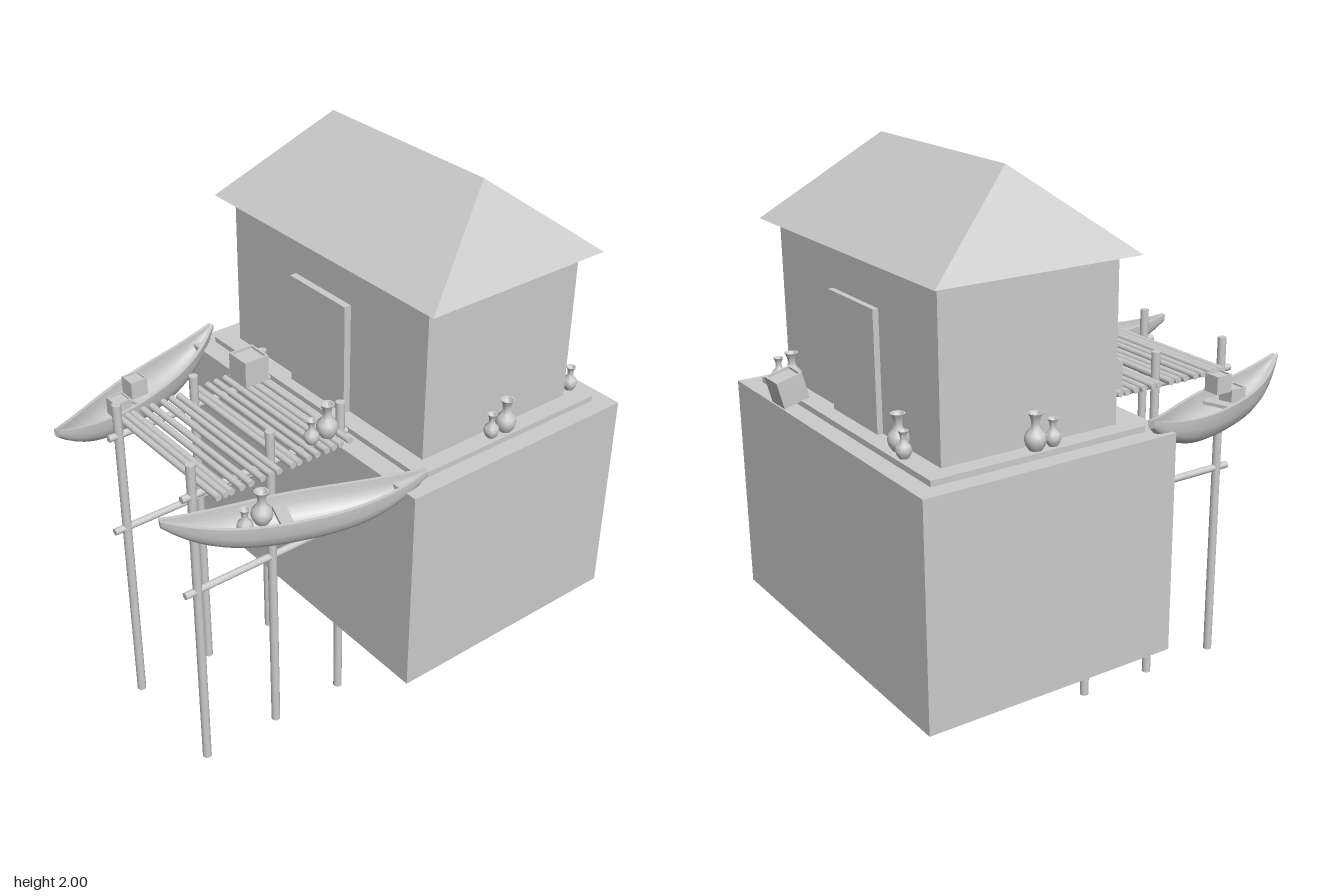
import * as THREE from 'three';
import { toCreasedNormals } from 'three/addons/utils/BufferGeometryUtils.js';

const material = new THREE.MeshStandardMaterial({ color: 0xcccccc });
const thin = new THREE.MeshStandardMaterial({ color: 0xcccccc, side: THREE.DoubleSide });

function add(parent, name, geometry, x = 0, y = 0, z = 0, mat = material) {
  const mesh = new THREE.Mesh(geometry, mat);
  mesh.name = name;
  mesh.position.set(x, y, z);
  parent.add(mesh);
  return mesh;
}

// Box given by its lower and upper bounds on each axis
function block(parent, name, [x0, x1], [y0, y1], [z0, z1]) {
  return add(parent, name, new THREE.BoxGeometry(x1 - x0, y1 - y0, z1 - z0),
    (x0 + x1) / 2, (y0 + y1) / 2, (z0 + z1) / 2);
}

// Round pole along one axis, centred at a point
function pole(parent, name, axis, radius, length, x, y, z) {
  const geo = new THREE.CylinderGeometry(radius, radius, length, 12);
  if (axis === 'x') geo.rotateZ(Math.PI / 2);
  if (axis === 'z') geo.rotateX(Math.PI / 2);
  return add(parent, name, geo, x, y, z);
}

// Jar standing on (x, y, z), with narrow neck and flared lip
function jar(parent, x, y, z, h) {
  const profile = [[0, 0], [0.17, 0], [0.26, 0.14], [0.3, 0.3], [0.26, 0.45], [0.14, 0.58],
    [0.11, 0.7], [0.13, 0.86], [0.2, 1], [0.16, 1], [0.09, 0.85], [0, 0.8]];
  const points = profile.map(([r, v]) => new THREE.Vector2(r * h, v * h));
  add(parent, 'jar', toCreasedNormals(new THREE.LatheGeometry(points, 16), 0.8), x, y, z, thin);
}

// Crate standing on (x, y, z), with a raised border around its lid
function crate(parent, x, y, z, size) {
  const group = new THREE.Group();
  group.name = 'crate';
  group.position.set(x, y, z);
  const h = size / 2, t = size * 0.08;
  block(group, 'crateBody', [-h, h], [0, size * 0.92], [-h, h]);
  for (const s of [-1, 1]) {
    add(group, 'crateRim', new THREE.BoxGeometry(t, t, size), s * (h - t / 2), size - t / 2, 0);
    add(group, 'crateRim', new THREE.BoxGeometry(size - 2 * t, t, t), 0, size - t / 2, s * (h - t / 2));
  }
  parent.add(group);
  return group;
}

// Hollow rectangular base, open underneath
function foundation(parent) {
  const rect = (P, x, z) => new P([[-x, -z], [x, -z], [x, z], [-x, z]].map(p => new THREE.Vector2(...p)));
  const shape = rect(THREE.Shape, 0.64, 0.4675);
  shape.holes.push(rect(THREE.Path, 0.58, 0.4075));
  const geo = new THREE.ExtrudeGeometry(shape, { depth: 0.72, bevelEnabled: false });
  geo.rotateX(-Math.PI / 2);
  add(parent, 'foundationWalls', geo, 0, 0.355, -0.3625);
  block(parent, 'foundationTop', [-0.64, 0.64], [1.075, 1.135], [-0.83, 0.105]);
}

// Hipped roof with a ridge along x
function roof(parent) {
  const X = 0.575, Z = 0.37, R = 0.375, H = 0.285;
  const v = [[-X, 0, Z], [X, 0, Z], [X, 0, -Z], [-X, 0, -Z], [-R, H, 0], [R, H, 0]];
  const geo = new THREE.BufferGeometry();
  geo.setAttribute('position', new THREE.Float32BufferAttribute(v.flat(), 3));
  geo.setIndex([0, 1, 5, 0, 5, 4, 1, 2, 5, 2, 3, 4, 2, 4, 5, 3, 0, 4, 0, 3, 2, 0, 2, 1]);
  const flat = geo.toNonIndexed();
  flat.computeVertexNormals();
  add(parent, 'roof', flat, 0, 1.715, -0.365);
}

// Hull lofted from U-shaped sections that narrow and rise towards both tips
function hullGeometry() {
  const rings = 24, arc = 10, count = 2 * (arc + 1);
  const positions = [], index = [];
  for (let i = 0; i <= rings; i++) {
    const s = -1 + (2 * i) / rings, a = Math.abs(s);
    const top = 1.14 + 0.048 * a ** 3, bottom = 1.03 + 0.13 * a ** 3;
    const w = 0.012 + 0.073 * (1 - a ** 2);
    const wi = Math.max(w - 0.012, 0.002), floor = Math.min(bottom + 0.02, top - 0.004);
    for (let j = 0; j < count; j++) {
      const outer = j <= arc;
      const t = Math.PI * (outer ? j : count - 1 - j) / arc;
      const c = Math.cos(t);
      const x = Math.sign(c) * Math.abs(c) ** 0.8 * (outer ? w : wi);
      positions.push(x, top - (top - (outer ? bottom : floor)) * Math.sin(t) ** 0.8, s * 0.432);
    }
  }
  for (let i = 0; i < rings; i++) {
    for (let j = 0; j < count; j++) {
      const a = i * count + j, b = i * count + (j + 1) % count;
      index.push(a, a + count, b, b, a + count, b + count);
    }
  }
  // Tip caps between the outer and inner arcs
  for (const base of [0, rings * count]) {
    for (let j = 0; j < arc; j++) {
      const a = base + j, b = a + 1, c = base + count - 1 - j, d = c - 1;
      if (base) index.push(a, c, b, b, c, d);
      else index.push(a, b, c, b, d, c);
    }
  }
  const geo = new THREE.BufferGeometry();
  geo.setAttribute('position', new THREE.Float32BufferAttribute(positions, 3));
  geo.setIndex(index);
  return toCreasedNormals(geo, 0.7);
}

function boat(parent, name, x, angle) {
  const group = new THREE.Group();
  group.name = name;
  group.position.set(x, 0, 0.425);
  group.rotation.y = angle;
  add(group, 'hull', hullGeometry(), 0, 0, 0, thin);
  add(group, 'seat', new THREE.BoxGeometry(0.125, 0.012, 0.042), 0, 1.105, 0.04);
  parent.add(group);
}

export function createModel() {
  const model = new THREE.Group();
  model.name = 'stiltHouse';

  // House on its raised base
  foundation(model);
  block(model, 'floorSlab', [-0.575, 0.575], [1.135, 1.155], [-0.765, 0.03]);
  block(model, 'houseWalls', [-0.51, 0.51], [1.155, 1.715], [-0.69, -0.038]);
  block(model, 'frontDoor', [-0.16, 0.135], [1.155, 1.562], [-0.04, -0.012]);
  block(model, 'backDoor', [-0.16, 0.135], [1.155, 1.562], [-0.71, -0.688]);
  roof(model);

  // Dock posts and beams
  const dock = new THREE.Group();
  dock.name = 'dock';
  model.add(dock);
  for (const x of [-0.24, 0.2]) {
    for (const z of [0.65, 0.345, 0.055]) pole(dock, 'post', 'y', 0.016, 1.26, x, 0.63, z);
    pole(dock, 'deckBeam', 'z', 0.013, 0.66, x, 1.14, 0.36);
    pole(dock, 'lowerBeam', 'z', 0.013, 0.93, x, 0.757, 0.235);
  }

  // Deck slats, with a gap half way
  for (const z of [0.08, 0.118, 0.147, 0.176, 0.215, 0.25, 0.29, 0.315,
    0.37, 0.4, 0.435, 0.48, 0.515, 0.555, 0.578, 0.605]) {
    pole(dock, 'slat', 'x', 0.012, 0.585, -0.0075, 1.16, z);
  }

  // Boats either side of the dock
  const angle = Math.atan2(0.29, 0.81);
  boat(model, 'rightBoat', -0.472, angle);
  boat(model, 'leftBoat', 0.447, -angle);

  // Cargo in the boats and on the deck
  crate(model, -0.43, 1.145, 0.467, 0.064);
  crate(model, -0.43, 1.085, 0.535, 0.064);
  jar(model, 0.383, 1.08, 0.512, 0.12);
  jar(model, 0.383, 1.07, 0.577, 0.09);
  crate(model, -0.23, 1.172, 0.12, 0.098);
  jar(model, 0.225, 1.168, 0.13, 0.125);
  jar(model, 0.228, 1.168, 0.197, 0.09);

  // Jars along the side and back walls
  for (const s of [-1, 1]) {
    jar(model, s * 0.545, 1.155, -0.375, 0.12);
    jar(model, s * 0.545, 1.155, -0.31, 0.088);
  }
  for (const [x, dx] of [[0.425, 0.065], [-0.31, -0.065]]) {
    jar(model, x, 1.155, -0.718, 0.12);
    jar(model, x + dx, 1.155, -0.738, 0.088);
  }

  // Crate leaning off the back edge of the slab
  crate(model, 0.32, 1.147, -0.777, 0.096).rotation.x = -0.25;

  return model;
}
